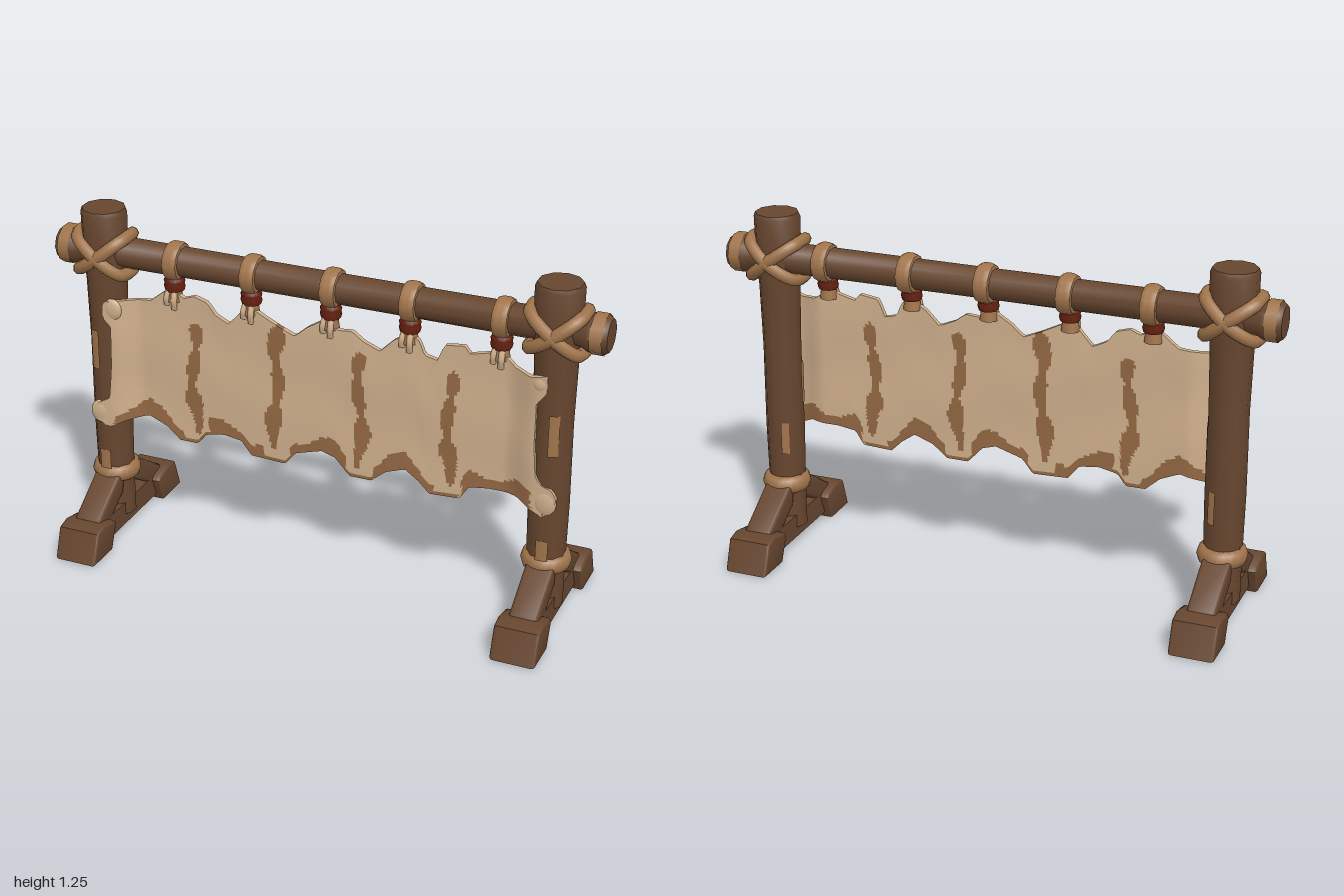
import * as THREE from 'three';
import { toCreasedNormals, mergeGeometries } from 'three/addons/utils/BufferGeometryUtils.js';

const mat = (name, color, side = THREE.FrontSide) => Object.assign(new THREE.MeshStandardMaterial({ color, side }), { name });
const V = (x, y, z) => new THREE.Vector3(x, y, z);

// linear interpolation through [key, value] points
function lerpTable(pts, k) {
  if (k <= pts[0][0]) return pts[0][1];
  for (let i = 1; i < pts.length; i++) {
    const [a, va] = pts[i - 1], [b, vb] = pts[i];
    if (k <= b) return va + (vb - va) * (k - a) / (b - a);
  }
  return pts[pts.length - 1][1];
}

// ragged upper and lower edges of the hide: [x, y]
const TOP = [[-.83, .92], [-.75, .93], [-.64, .94], [-.59, .98], [-.555, 1.0], [-.51, .97], [-.47, .985], [-.42, .97],
  [-.39, .93], [-.34, .905], [-.29, .96], [-.26, .985], [-.2, .955], [-.15, .93], [-.09, .905], [-.045, .945], [.02, .985],
  [.07, .955], [.12, .96], [.16, .93], [.22, .905], [.27, .955], [.32, .985], [.36, .97], [.38, .92], [.425, .91],
  [.45, .97], [.52, .98], [.54, .955], [.6, .97], [.64, .985], [.7, .94], [.76, .93], [.82, .945]];
const BOTTOM = [[-.88, .46], [-.84, .44], [-.8, .435], [-.74, .465], [-.66, .49], [-.59, .46], [-.54, .415], [-.47, .415],
  [-.44, .455], [-.37, .47], [-.3, .46], [-.26, .41], [-.13, .405], [-.09, .455], [.01, .485], [.06, .47], [.115, .41],
  [.195, .41], [.25, .455], [.32, .48], [.37, .445], [.41, .405], [.52, .41], [.55, .46], [.62, .47], [.73, .47],
  [.78, .445], [.82, .425], [.86, .45]];
// half-width of the hide up each side: [v, x]
const RIGHT = [[0, .82], [.03, .855], [.1, .87], [.17, .845], [.23, .8], [.5, .785], [.8, .78], [.87, .81], [.97, .81], [1, .8]];
const LEFT = [[0, .83], [.03, .86], [.1, .87], [.18, .85], [.26, .795], [.5, .785], [.8, .785], [.88, .82], [1, .82]];
// seam half-width by height: [y, w]
const SEAM = [[.45, .008], [.52, .02], [.57, .034], [.61, .028], [.64, .012], [.7, .024], [.75, .024], [.79, .01], [.83, .026],
  [.865, .026], [.885, 0]];
const SEAMS = [-.475, -.165, .15, .475];

// the hide hangs flat under the beam and bends forward over the posts
const bulge = x => .03 + .04 * THREE.MathUtils.smoothstep(Math.abs(x), .67, .79);

function isStained(x, y) {
  const d = y - lerpTable(BOTTOM, x);
  for (let i = 0; i < SEAMS.length; i++) {
    const shift = .01 * Math.sin(17 * y + i * 2);
    if (y > .45 && Math.abs(x - SEAMS[i] - shift) < lerpTable(SEAM, y + .012 * Math.sin(i * 3))) return true;
  }
  if (Math.hypot(x + .155, (y - .885) * .7) < .032) return true;
  if (Math.abs(x) > .78) return false;
  const onTab = SEAMS.some(s => Math.abs(x - s) < .05);
  return d < (onTab ? .012 : .05 + .018 * Math.sin(27 * x));
}

function hideGeometry() {
  const nx = 170, ny = 44, row = nx + 1, count = row * (ny + 1), pos = [], plain = [], stained = [];
  for (const depth of [.009, -.009]) {
    for (let j = 0; j <= ny; j++) for (let i = 0; i <= nx; i++) {
      const v = j / ny, u = i / nx * 2 - 1;
      const x = u * lerpTable(u < 0 ? RIGHT : LEFT, v);
      const lo = lerpTable(BOTTOM, x), hi = lerpTable(TOP, x);
      pos.push(x, lo + v * (hi - lo), bulge(x) + .002 * Math.sin(9 * v + 6 * x) + depth);
    }
  }
  const quad = (list, a, b, c, d) => list.push(a, b, c, a, c, d);
  for (let j = 0; j < ny; j++) for (let i = 0; i < nx; i++) {
    const a = j * row + i, b = a + 1, c = b + row, d = a + row;
    const list = isStained((pos[a * 3] + pos[c * 3]) / 2, (pos[a * 3 + 1] + pos[c * 3 + 1]) / 2) ? stained : plain;
    quad(list, a, b, c, d);
    quad(list, b + count, a + count, d + count, c + count);
    if (j === 0) quad(list, a + count, b + count, b, a);
    if (j === ny - 1) quad(list, d, c, c + count, d + count);
    if (i === 0) quad(list, a + count, a, d, d + count);
    if (i === nx - 1) quad(list, b, b + count, c + count, c);
  }
  const g = new THREE.BufferGeometry();
  g.setAttribute('position', new THREE.Float32BufferAttribute(pos, 3));
  g.setIndex([...plain, ...stained]);
  g.addGroup(0, plain.length, 0);
  g.addGroup(plain.length, stained.length, 1);
  return toCreasedNormals(g, 1);
}

// round log turned about y, with crisp ends
const log = (profile, sides) =>
  toCreasedNormals(new THREE.LatheGeometry(profile.map(p => new THREE.Vector2(...p)), sides), .9);
const tube = (pts, r, closed = false) =>
  new THREE.TubeGeometry(new THREE.CatmullRomCurve3(pts, closed), closed ? 48 : 10, r, 8, closed);

// outline in (z, y) made into a rounded beam of the given width along x
function sideCut(outline, width) {
  const shape = new THREE.Shape(outline.map(p => new THREE.Vector2(...p)));
  const g = new THREE.ExtrudeGeometry(shape, { depth: width - .024, bevelThickness: .012, bevelSize: .01, bevelSegments: 3 });
  return toCreasedNormals(g.translate(0, 0, .012 - width / 2).rotateY(-Math.PI / 2), .8);
}

// drops the faces that point straight down, leaving a hollow shell
function openBelow(geometry) {
  const g = geometry.index ? geometry.toNonIndexed() : geometry;
  const p = g.attributes.position, keep = [], tri = new THREE.Triangle(), n = V(0, 0, 0);
  for (let i = 0; i < p.count; i += 3) {
    tri.setFromAttributeAndIndices(p, i, i + 1, i + 2).getNormal(n);
    if (n.y > -.9) keep.push(i, i + 1, i + 2);
  }
  g.clearGroups();
  g.setIndex(keep);
  return g;
}

export function createModel() {
  const model = new THREE.Group();
  const wood = mat('darkWood', 0x67462f, THREE.DoubleSide), rope = mat('rope', 0xa0744b, THREE.DoubleSide);
  const hide = mat('hide', 0xd0b08d), stain = mat('stainedHide', 0x946843), binding = mat('redBinding', 0x64200f);
  const add = (parent, name, geo, material, x = 0, y = 0, z = 0) => {
    const m = new THREE.Mesh(geo, material);
    m.name = name;
    m.position.set(x, y, z);
    parent.add(m);
    return m;
  };

  // crossbeam with thick ends
  const beam = add(model, 'crossbeam', log([[0, -1], [.056, -1], [.066, -.985], [.066, -.93], [.055, -.91], [.053, 0],
    [.055, .91], [.066, .93], [.066, .985], [.056, 1], [0, 1]], 10), wood, 0, 1.09, 0);
  beam.rotation.z = -Math.PI / 2;

  // hollow foot parts
  const blockGeo = openBelow(sideCut([[.33, .011], [.296, .106], [.255, .116], [.187, .102], [.178, .093], [.212, .011]], .16));
  const footGeo = openBelow(new THREE.BoxGeometry(.1, .085, .42));
  const braceGeo = sideCut([[.045, .24], [.075, .225], [.23, .122], [.24, .09], [.15, .105], [.06, .165]], .1);

  for (const side of [-1, 1]) {
    const stand = new THREE.Group();
    stand.name = side > 0 ? 'leftStand' : 'rightStand';
    stand.position.x = side * .825;
    model.add(stand);

    add(stand, 'post', log([[0, .06], [.066, .06], [.066, .2], [.07, .45], [.068, .75], [.073, .98], [.08, 1.08],
      [.082, 1.235], [.076, 1.25], [0, 1.25]], 10), wood, 0, 0, .008);
    add(stand, 'footBeam', footGeo, wood, 0, .066, 0);
    for (const end of [0, Math.PI]) {
      add(stand, 'footBlock', blockGeo, wood).rotation.y = end;
      add(stand, 'brace', braceGeo, wood).rotation.y = end;
    }
    for (const z of [-.13, .13]) add(stand, 'innerPatch', new THREE.BoxGeometry(.06, .006, .07), rope, 0, .07, z);

    // rope collar above the foot
    const collar = add(stand, 'footRope', new THREE.TorusGeometry(.063, .025, 8, 20), rope, 0, .233, .003);
    collar.rotation.x = Math.PI / 2;
    collar.scale.z = 1.35;

    // crossed lashing around post and beam
    for (const s of [-1, 1]) {
      const path = [V(-.08 * s, .06, .055), V(0, .004 * s, .092), V(.08 * s, -.06, .055),
        V(.08 * s, -.06, -.047), V(0, .004 * s, -.084), V(-.08 * s, .06, -.047)];
      add(stand, 'crossLashing', tube(path, .023, true), rope, 0, 1.086, .003);
    }

    // rope round the beam end
    const wrap = add(stand, 'endRope', new THREE.CylinderGeometry(.07, .07, .042, 10, 1, true), rope, side * .139, 1.09, 0);
    wrap.rotation.z = Math.PI / 2;

    // worn patches: centre y, height, start angle, arc
    for (const [y, h, a, arc] of [[.73, .15, -.6, .5], [.29, .09, -.35, .6], [.62, .16, 1.2, .4], [.42, .12, 2.5, .4]]) {
      add(stand, 'wornPatch', new THREE.CylinderGeometry(.072, .072, h, 5, 1, true, side < 0 ? a : -a - arc, arc), rope, 0, y, .008);
    }
  }

  // hanging hide with curled corners
  add(model, 'hide', hideGeometry(), [hide, stain]);
  for (const [x, y, rx, ry] of [[-.84, .485, .04, .045], [.83, .48, .04, .05], [-.775, .895, .035, .04], [.795, .91, .028, .03]]) {
    add(model, 'curledCorner', new THREE.SphereGeometry(1, 16, 10), hide, x, y, bulge(x)).scale.set(rx, ry, .014);
  }

  // ties: beam loop, red binding and loose tails
  const loop = log([[.05, -.028], [.064, -.026], [.071, -.01], [.071, .01], [.064, .026], [.05, .028]], 14);
  for (const x of [-.553, -.26, .035, .32, .64]) {
    const tie = new THREE.Group();
    tie.name = 'tie';
    tie.position.x = x;
    model.add(tie);
    add(tie, 'beamLoop', loop, rope, 0, 1.09, 0).rotation.z = Math.PI / 2;
    add(tie, 'binding', log([[0, -.025], [.034, -.025], [.038, -.01], [.035, 0], [.038, .012], [.03, .025], [0, .025]], 10),
      binding, 0, 1.015, .018);
    add(tie, 'gatheredHide', new THREE.CylinderGeometry(.026, .032, .045, 10), rope, 0, .975, .022);
    add(tie, 'tails', mergeGeometries([
      tube([V(-.012, 1, .035), V(-.018, .968, .047), V(-.02, .94, .04)], .011),
      tube([V(.008, 1, .035), V(.01, .96, .048), V(.006, .925, .038)], .011)]), hide);
  }
  return model;
}
